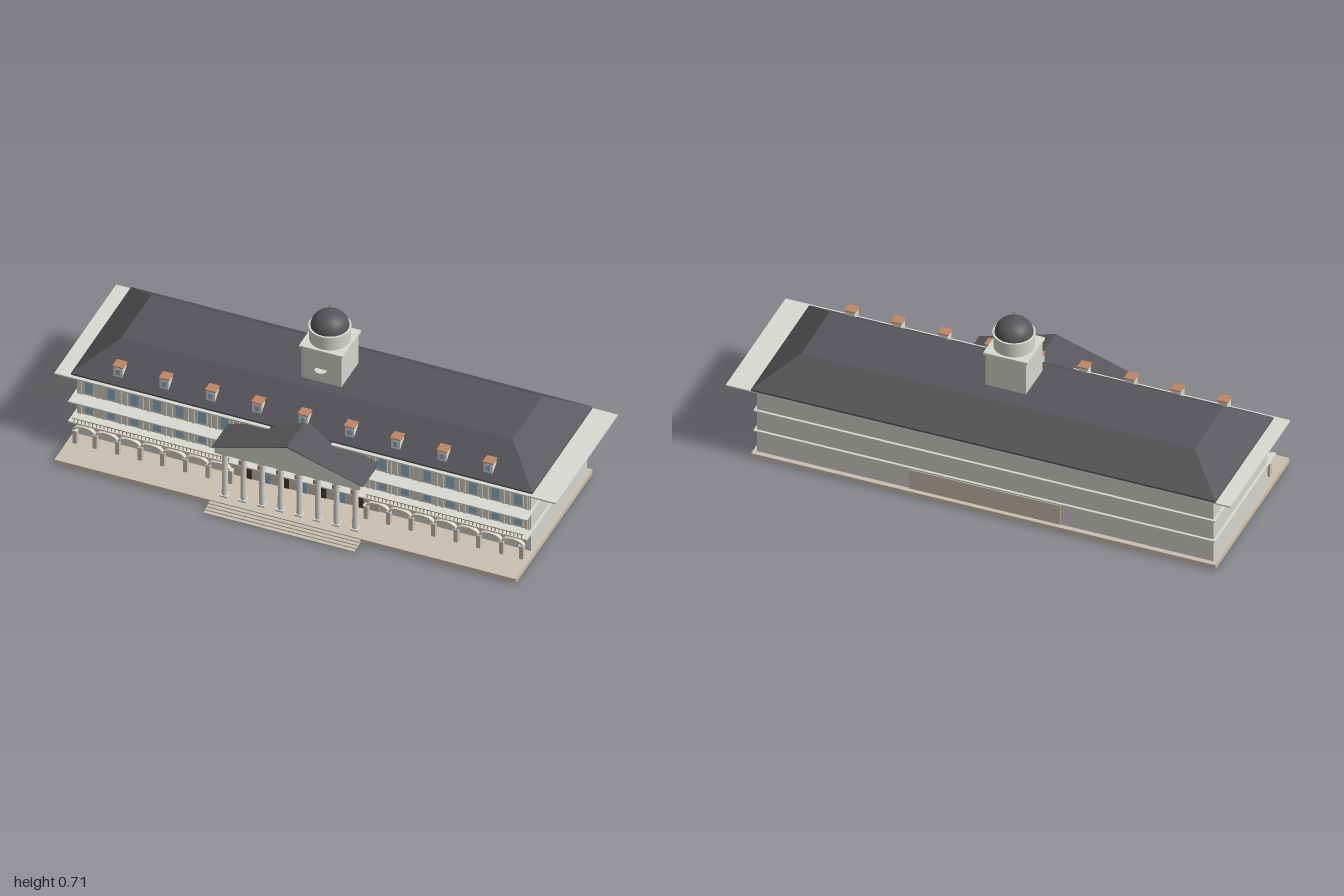
import * as THREE from 'three';

const CX = -0.02; // building axis
const mat = (color, side = THREE.FrontSide) => new THREE.MeshStandardMaterial({ color, side });

export function createModel() {
  const root = new THREE.Group();
  const wall = mat(0xd6d4cc), trim = mat(0xdadad4), stone = mat(0xcbc0b0), cream = mat(0xdcd3c3);
  const slate = mat(0x56565a), glass = mat(0x8fb3c9), brick = mat(0xc08560), dark = mat(0x4a3a30), gold = mat(0x9a8050);

  const add = (name, geo, m, parent = root) => {
    const mesh = new THREE.Mesh(geo, m);
    mesh.name = name;
    parent.add(mesh);
    return mesh;
  };
  // box given by its limits on each axis
  const box = (name, m, x0, x1, y0, y1, z0, z1, parent) => {
    const g = new THREE.BoxGeometry(x1 - x0, y1 - y0, z1 - z0);
    g.translate((x0 + x1) / 2, (y0 + y1) / 2, (z0 + z1) / 2);
    return add(name, g, m, parent);
  };
  const cyl = (name, m, rTop, rBot, y0, y1, x, z, sides, parent) => {
    const g = new THREE.CylinderGeometry(rTop, rBot, y1 - y0, sides);
    g.translate(x, (y0 + y1) / 2, z);
    return add(name, g, m, parent);
  };
  const group = (name) => {
    const g = new THREE.Group();
    g.name = name;
    root.add(g);
    return g;
  };

  // Terrace and front steps
  box('terrace', stone, -0.94, 0.9, 0, 0.02, -0.39, 0.33);
  const steps = group('frontSteps');
  for (let i = 0; i < 4; i++) {
    box('step', stone, CX - 0.3, CX + 0.3, i * 0.004, (i + 1) * 0.004, 0.33, 0.39 - i * 0.015, steps);
  }

  // Main block, central hall, floor slabs and eave plate
  box('mainBlock', wall, -0.925, 0.885, 0.02, 0.3, -0.37, 0.152);
  box('centralHall', stone, CX - 0.3, CX + 0.3, 0.02, 0.105, -0.373, 0.155);
  box('lowerBalcony', trim, -0.935, 0.895, 0.113, 0.119, -0.38, 0.215);
  box('upperBalcony', trim, -0.935, 0.895, 0.204, 0.21, -0.38, 0.215);
  box('eavePlate', trim, -1, 1, 0.297, 0.303, -0.39, 0.19);
  box('upperFacade', cream, -0.92, 0.88, 0.119, 0.297, 0.152, 0.154);

  // Hipped roof with a flat top
  const roof = new THREE.BoxGeometry(1.84, 0.105, 0.565);
  const p = roof.attributes.position;
  for (let i = 0; i < p.count; i++) {
    if (p.getY(i) > 0) p.setXYZ(i, p.getX(i) * 0.78 / 0.92, p.getY(i), p.getZ(i) * 0.14 / 0.2825);
  }
  roof.computeVertexNormals();
  roof.translate(CX, 0.3625, -0.1075);
  add('hippedRoof', roof, slate);
  box('roofEdge', slate, -0.94, 0.9, 0.303, 0.31, -0.39, 0.175);

  // Twenty facade bays: windows, pilasters, arcade arches and railing
  const facade = group('facadeBays');
  const arcade = group('arcade');
  const railing = group('railing');
  const bay = 0.09, left = CX - 10 * bay;
  const archShape = new THREE.Shape();
  archShape.absellipse(0, 0, 0.045, 0.024, 0, Math.PI, false);
  archShape.lineTo(-0.036, 0);
  archShape.absellipse(0, 0, 0.036, 0.018, Math.PI, 0, true);
  const archGeo = new THREE.ExtrudeGeometry(archShape, { depth: 0.016, bevelEnabled: false, curveSegments: 12 });
  for (let i = 0; i <= 20; i++) {
    const x = left + i * bay, mid = x + bay / 2;
    for (const [y0, y1] of [[0.119, 0.204], [0.21, 0.297]]) {
      for (const s of [-0.012, 0.012]) {
        const px = THREE.MathUtils.clamp(x + s, -0.917, 0.877);
        box('pilaster', trim, px - 0.004, px + 0.004, y0, y1, 0.152, 0.158, facade);
      }
      if (i < 20) {
        box('windowFrame', trim, mid - 0.02, mid + 0.02, y0 + 0.006, y0 + 0.073, 0.152, 0.1555, facade);
        box('windowPane', glass, mid - 0.016, mid + 0.016, y0 + 0.01, y0 + 0.069, 0.152, 0.157, facade);
      }
    }
    // open arcade on both wings
    if (Math.abs(x - CX) > 0.26) {
      const px = THREE.MathUtils.clamp(x, -0.91, 0.87);
      box('pier', stone, px - 0.008, px + 0.008, 0.02, 0.077, 0.194, 0.212, arcade);
      box('pierCap', trim, px - 0.01, px + 0.01, 0.076, 0.08, 0.193, 0.214, arcade);
    }
    if (i < 20 && Math.abs(mid - CX) > 0.3) {
      add('arch', archGeo, cream, arcade).position.set(mid, 0.078, 0.195);
    }
    // low balustrade on the wings
    if (i < 20 && Math.abs(mid - CX) > 0.3) {
      box('rail', gold, x, x + bay, 0.133, 0.135, 0.21, 0.212, railing);
      for (let k = 0; k < 6; k++) {
        const bx = x + (k + 0.5) * bay / 6;
        box('baluster', stone, bx - 0.002, bx + 0.002, 0.119, 0.134, 0.21, 0.212, railing);
      }
    }
  }

  // Doors of the central hall and seats on the balcony above
  const entrance = group('entrance');
  for (let i = 0; i < 7; i++) {
    const x = CX + (i - 3) * 0.0743;
    box('door', i % 2 ? glass : dark, x - 0.016, x + 0.016, 0.02, 0.085, 0.154, 0.157, entrance);
    box('doorHead', brick, x - 0.02, x + 0.02, 0.085, 0.09, 0.154, 0.158, entrance);
    for (const z of [0.213, 0.176]) {
      box('seat', brick, x - 0.012, x + 0.012, 0.119, 0.123, z - 0.019, z, entrance);
      box('seatBack', brick, x - 0.012, x + 0.012, 0.119, 0.138, z - 0.003, z, entrance);
    }
  }

  // Portico: columns, beam and gabled roof
  const portico = group('portico');
  for (let i = 0; i < 8; i++) {
    const x = CX - 0.26 + i * 0.0743;
    box('columnBase', trim, x - 0.015, x + 0.015, 0.02, 0.027, 0.267, 0.298, portico);
    cyl('column', wall, 0.01, 0.012, 0.027, 0.216, x, 0.282, 16, portico);
    box('capital', trim, x - 0.014, x + 0.014, 0.214, 0.225, 0.267, 0.298, portico);
  }
  box('beam', trim, CX - 0.29, CX + 0.29, 0.225, 0.248, 0.155, 0.308, portico);
  const gable = new THREE.Shape([
    new THREE.Vector2(-0.298, 0), new THREE.Vector2(0.298, 0), new THREE.Vector2(0, 0.09),
  ]);
  const gableGeo = new THREE.ExtrudeGeometry(gable, { depth: 0.178, bevelEnabled: false });
  add('pediment', gableGeo, trim, portico).position.set(CX, 0.246, 0.132);
  const slopes = new THREE.Shape([[-0.303, 0], [-0.298, 0], [0, 0.09], [0.298, 0], [0.303, 0], [0, 0.094]]
    .map(([x, y]) => new THREE.Vector2(x, y)));
  const slopeGeo = new THREE.ExtrudeGeometry(slopes, { depth: 0.181, bevelEnabled: false });
  add('porticoRoof', slopeGeo, slate, portico).position.set(CX, 0.247, 0.131);

  // Nine dormers along the front slope
  const dormers = group('dormers');
  for (let i = -4; i <= 4; i++) {
    const x = CX - 0.005 + i * 0.1845;
    box('dormerBody', trim, x - 0.018, x + 0.018, 0.326, 0.373, 0.113, 0.15, dormers);
    box('dormerPane', glass, x - 0.009, x + 0.009, 0.338, 0.362, 0.149, 0.152, dormers);
    box('dormerCap', brick, x - 0.021, x + 0.021, 0.373, 0.377, 0.11, 0.153, dormers);
  }

  // Tower with drum, dome and spire
  const tower = group('tower');
  const TZ = -0.09;
  box('towerBase', wall, CX - 0.08, CX + 0.08, 0.4, 0.553, TZ - 0.08, TZ + 0.08, tower);
  box('towerCornice', trim, CX - 0.087, CX + 0.087, 0.553, 0.563, TZ - 0.087, TZ + 0.087, tower);
  cyl('drum', wall, 0.077, 0.077, 0.563, 0.619, CX, TZ, 24, tower);
  cyl('drumRing', trim, 0.08, 0.08, 0.618, 0.623, CX, TZ, 24, tower);
  const dome = new THREE.SphereGeometry(0.072, 28, 12, 0, Math.PI * 2, 0, Math.PI / 2);
  dome.scale(1, 0.061 / 0.072, 1);
  add('dome', dome, slate, tower).position.set(CX, 0.622, TZ);
  cyl('spire', gold, 0.0015, 0.0015, 0.68, 0.715, CX, TZ, 8, tower);
  cyl('frontDisc', trim, 0.023, 0.023, 0.472, 0.4745, CX, -0.006, 24, tower);

  return root;
}
